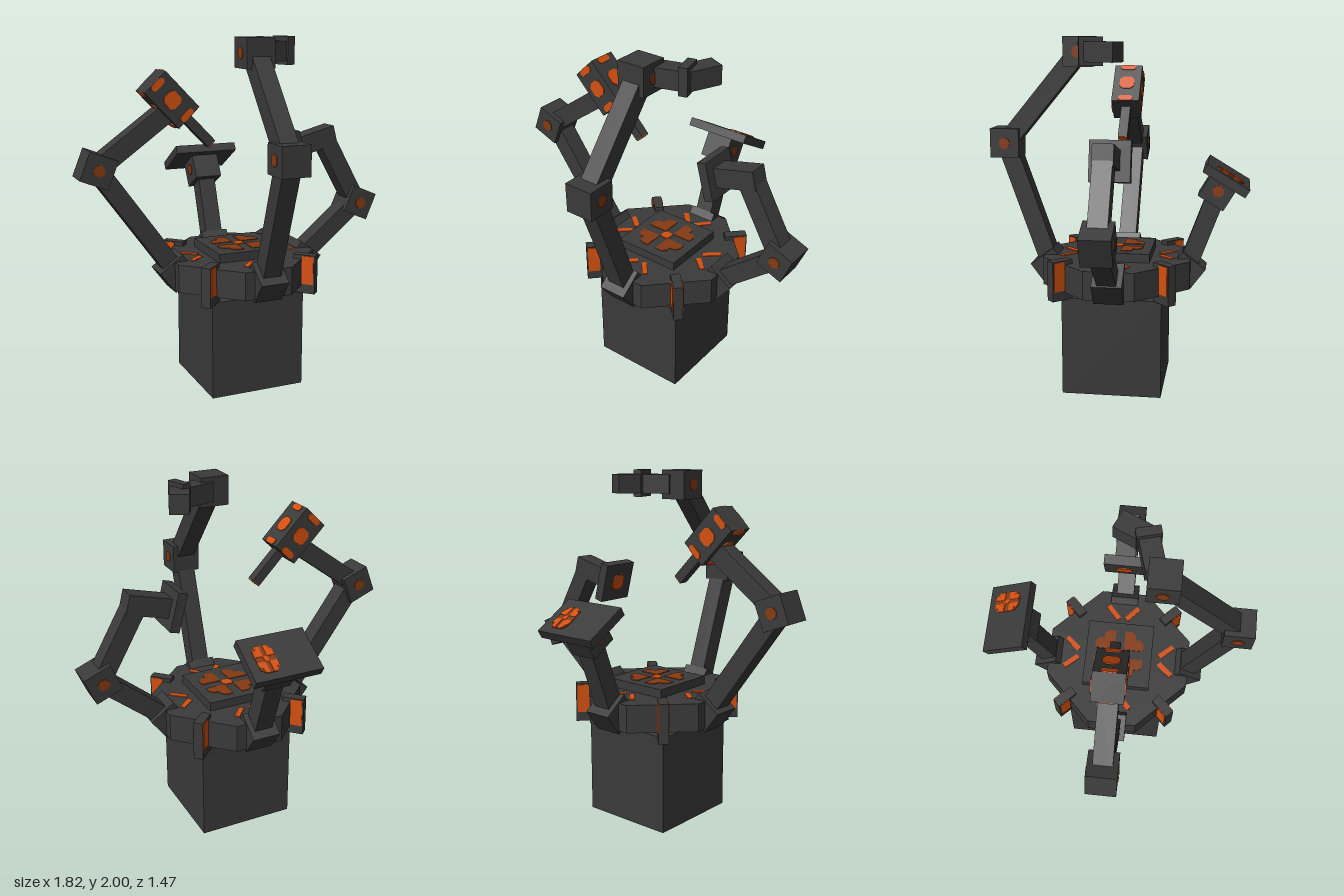
import * as THREE from 'three';

const paint = (name, color) => {
  const m = new THREE.MeshStandardMaterial({ color });
  m.name = name;
  return m;
};

export function createModel() {
  const dark = paint('charcoal', 0x3a3a3a);
  const orange = paint('bright orange', 0xd4500f);
  const rust = paint('rust orange', 0x853a12);
  const model = new THREE.Group();
  model.name = 'robotArmStation';

  const add = (parent, name, geo, mat, x = 0, y = 0, z = 0) => {
    const m = new THREE.Mesh(geo, mat);
    m.name = name;
    m.position.set(x, y, z);
    parent.add(m);
    return m;
  };
  const box = (parent, name, [w, h, d], [x, y, z], mat = dark, rz = 0) => {
    const m = add(parent, name, new THREE.BoxGeometry(w, h, d), mat, x, y, z);
    m.rotation.z = rz;
    return m;
  };
  const group = (parent, name, x = 0, y = 0, z = 0) => {
    const g = new THREE.Group();
    g.name = name;
    g.position.set(x, y, z);
    parent.add(g);
    return g;
  };
  // Square bar running between two points
  const bar = (parent, name, a, b, w = 0.105) => {
    const p = new THREE.Vector3(...a), q = new THREE.Vector3(...b);
    const d = q.clone().sub(p);
    const m = box(parent, name, [d.length(), w, w], p.clone().add(q).multiplyScalar(0.5).toArray());
    m.quaternion.setFromUnitVectors(new THREE.Vector3(1, 0, 0), d.normalize());
    return m;
  };
  // Thin flat plate cut to an outline, lying face up
  const flat = (points, depth = 0.006) => {
    const s = new THREE.Shape(points.map(([x, y]) => new THREE.Vector2(x, y)));
    return new THREE.ExtrudeGeometry(s, { depth, bevelEnabled: false }).rotateX(-Math.PI / 2);
  };
  const chamfered = (w, h, c) => {
    const a = w / 2, b = h / 2;
    return [[a, c - b], [a, b - c], [a - c, b], [c - a, b], [-a, b - c], [-a, c - b], [c - a, -b], [a - c, -b]];
  };
  const octagon = (r, half) => Array.from({ length: 4 }, (_, i) => i * Math.PI / 2).flatMap(t =>
    [-half, half].map(v => [r * Math.cos(t) - v * Math.sin(t), r * Math.sin(t) + v * Math.cos(t)]));
  // Four petals round a square
  const petal = [[0.028, 0.028], [0.145, 0.028], [0.145, 0.07], [0.125, 0.095], [0.095, 0.095],
    [0.095, 0.125], [0.07, 0.145], [0.028, 0.145]];
  const flower = (parent, mat, x, y, z) => {
    const g = group(parent, 'flowerPanel', x, y, z);
    for (let i = 0; i < 4; i++) add(g, 'petal', flat(petal), mat).rotation.y = i * Math.PI / 2;
    add(g, 'flowerCentre', flat(chamfered(0.058, 0.058, 0.012)), orange);
    return g;
  };
  // Cubic joint with a round cap on both sides
  const joint = (parent, name, x, y, rz) => {
    const g = group(parent, name, x, y, 0);
    g.rotation.z = rz;
    box(g, 'jointBlock', [0.165, 0.165, 0.165], [0, 0, 0]);
    for (const s of [-1, 1]) {
      add(g, 'jointCap', new THREE.CylinderGeometry(0.034, 0.034, 0.006, 8).rotateX(Math.PI / 2), rust, 0, 0, s * 0.084);
    }
  };

  const body = group(model, 'body', 0.026, 0, 0.014);

  // Pedestal and hub
  box(body, 'pedestal', [0.56, 0.565, 0.56], [0.002, 0.2825, 0.006]);
  add(body, 'hubNeck', flat(octagon(0.24, 0.09), 0.06), dark, 0, 0.555, 0);
  add(body, 'hub', flat(octagon(0.42, 0.14), 0.16), dark, 0, 0.6, 0);
  box(body, 'topPlate', [0.395, 0.055, 0.395], [0, 0.7825, 0]);
  flower(body, rust, 0, 0.808, 0);

  for (let i = 0; i < 4; i++) {
    // Diagonal fins with a painted panel on each flank
    const corner = group(body, 'cornerFin');
    corner.rotation.y = Math.PI / 4 + i * Math.PI / 2;
    box(corner, 'fin', [0.13, 0.225, 0.055], [0.411, 0.672, 0]);
    for (const s of [-1, 1]) {
      box(corner, 'finPanel', [0.068, 0.165, 0.006], [0.434, 0.697, s * 0.029], orange);
    }
    // Slanted strips in front of each arm, above and below
    const side = group(body, 'deckStrips');
    side.rotation.y = i * Math.PI / 2;
    for (const s of [-1, 1]) for (const y of [0.761, 0.599]) {
      box(side, 'deckStrip', [0.106, 0.008, 0.03], [0.283, y, s * 0.057], orange).rotation.y = -s * 0.72;
    }
  }

  // Arm frame: +x points outward from the hub
  const arm = (name, turn) => {
    const g = group(body, name);
    g.rotation.y = turn;
    box(g, 'shoulder', [0.165, 0.15, 0.165], [0.395, 0.69, 0], dark, -0.64);
    return g;
  };
  const S = [0.395, 0.69, 0];

  // Left arm with a square pad
  const left = arm('leftArm', 0);
  bar(left, 'upperArm', S, [0.77, 1.0, 0]);
  joint(left, 'elbow', 0.77, 1.0, -0.4);
  bar(left, 'forearm', [0.77, 1.0, 0], [0.55, 1.39, 0]);
  bar(left, 'hand', [0.602, 1.42, 0], [0.345, 1.353, 0], 0.112);
  const pad = group(left, 'pad', 0.336, 1.347, 0);
  pad.rotation.z = 0.25;
  box(pad, 'padPlate', [0.055, 0.225, 0.225], [0, 0, 0]);
  add(pad, 'padMark', flat(chamfered(0.09, 0.09, 0.02)), orange, -0.0275, 0, 0).rotation.z = Math.PI / 2;

  // Right arm with a tool head
  const right = arm('rightArm', Math.PI);
  bar(right, 'upperArm', S, [0.835, 1.307, 0]);
  joint(right, 'elbow', 0.835, 1.307, 0.38);
  bar(right, 'forearm', [0.835, 1.307, 0], [0.43, 1.6, 0]);
  const head = group(right, 'toolHead', 0.421, 1.665, 0);
  head.rotation.z = Math.PI + 0.805;
  box(head, 'headBlock', [0.275, 0.165, 0.165], [0, 0, 0]);
  box(head, 'toolRod', [0.23, 0.055, 0.055], [0.242, 0, 0]);
  box(head, 'rodTip', [0.006, 0.052, 0.052], [0.359, 0, 0], orange);
  for (let i = 0; i < 4; i++) {
    const face = group(head, 'headPanels');
    face.rotation.x = i * Math.PI / 2;
    add(face, 'centrePanel', flat(chamfered(0.088, 0.088, 0.02)), orange, 0, 0.0815, 0);
    for (const s of [-1, 1]) {
      add(face, 'endPanel', flat(chamfered(0.038, 0.088, 0.012)), orange, s * 0.118, 0.0815, 0);
    }
  }

  // Front arm with a bent finger turned to the left
  const front = arm('frontArm', -Math.PI / 2);
  bar(front, 'upperArm', S, [0.645, 1.402, 0]);
  joint(front, 'elbow', 0.645, 1.402, 0);
  bar(front, 'forearm', [0.645, 1.402, 0], [0.22, 1.915, 0]);
  joint(front, 'wrist', 0.22, 1.915, 0);
  bar(front, 'fingerBase', [0.175, 1.917, -0.03], [0.122, 1.917, -0.22], 0.108);
  box(front, 'fingerRing', [0.13, 0.155, 0.05], [0.122, 1.92, -0.219]).rotation.y = 0.26;
  bar(front, 'fingerTip', [0.13, 1.918, -0.212], [-0.035, 1.918, -0.287], 0.108);

  // Back arm with a tilted panel
  const back = arm('backArm', Math.PI / 2);
  bar(back, 'upperArm', [0.395, 0.69, 0], [0.568, 1.155, 0]).name = 'upperArm';
  joint(back, 'wrist', 0.568, 1.155, -0.54);
  const panel = group(back, 'tiltedPanel', 0.613, 1.23, 0);
  panel.rotation.z = -0.54;
  box(panel, 'panelPlate', [0.27, 0.05, 0.39], [0, 0, 0]);
  add(panel, 'panelBacking', flat(chamfered(0.165, 0.115, 0.025), 0.004), rust, 0.01, 0.025, 0.087);
  flower(panel, orange, 0.01, 0.026, 0.087).scale.set(0.57, 1, 0.4);

  return model;
}
